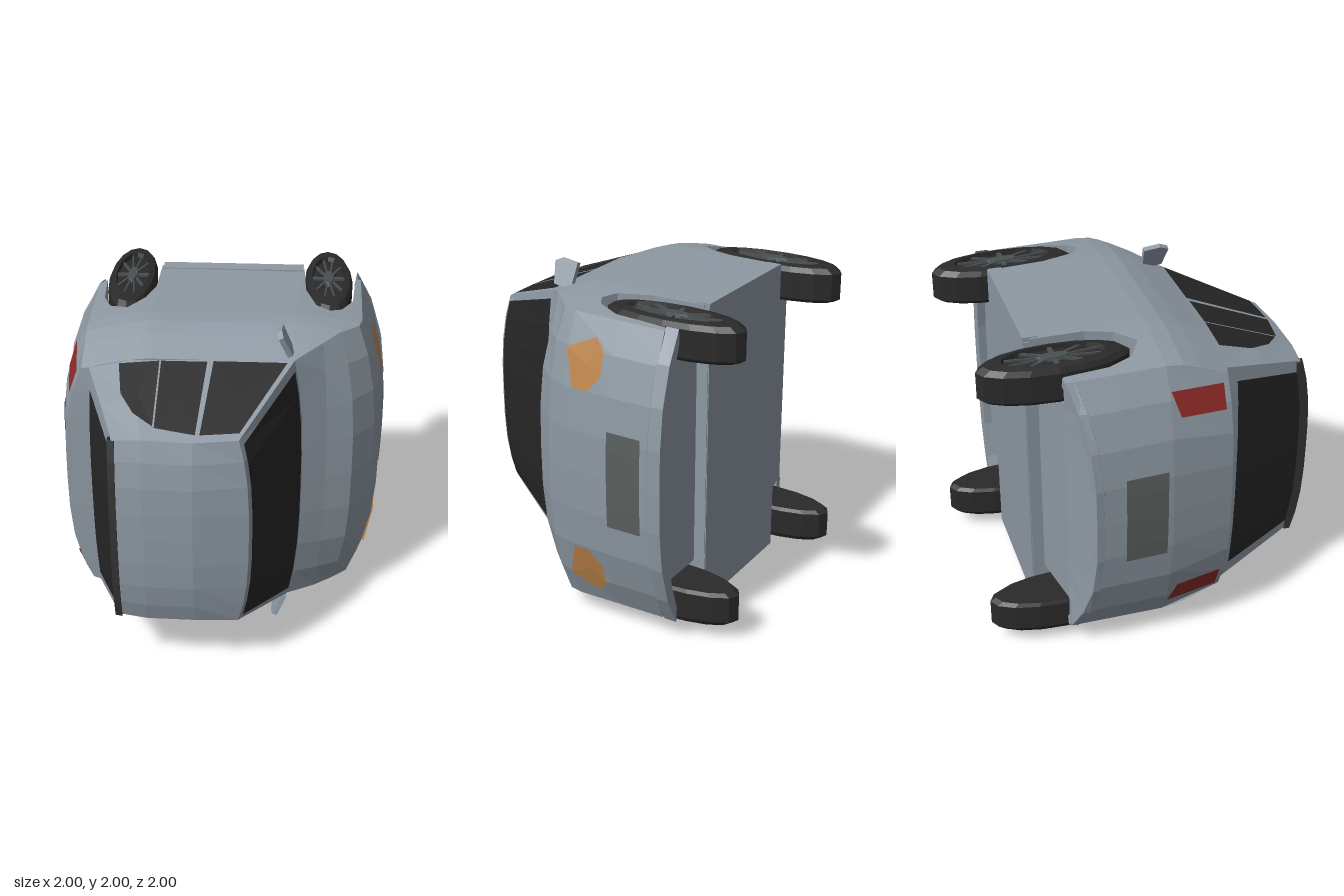
import * as THREE from 'three';

// The car lies with its nose to +x, its roof to +z and its width along y (middle at y = 1).
const mat = (name, color) => {
  const m = new THREE.MeshStandardMaterial({ color, flatShading: true, side: THREE.DoubleSide });
  m.name = name;
  return m;
};

// Half width of the bodywork at length x and height z
const PROFILE = [[-0.7, 0.92], [0, 0.93], [0.1, 0.918], [0.2, 0.885], [0.37, 0.815], [0.95, 0.595]];
function sideW(x, z) {
  let i = 0;
  while (i < PROFILE.length - 2 && z > PROFILE[i + 1][0]) i++;
  const [z0, w0] = PROFILE[i], [z1, w1] = PROFILE[i + 1];
  let w = w0 + (w1 - w0) * (z - z0) / (z1 - z0);
  if (x > 0.4) w -= 0.05 * ((x - 0.4) / 0.4) ** 1.5;
  if (x < -0.4) w -= 0.08 * ((-0.4 - x) / 0.39) ** 1.5;
  return w;
}

const { lerp, clamp } = THREE.MathUtils;
const T = [0, 0.28, 0.55, 0.8, 1];
const STATIONS = [...T.slice(1).reverse().map(t => -t), ...T];

// Point on a cross rib [centre x, centre z, edge x, edge z, half width], t from -1 to 1
function ribPoint([cx, cz, ex, ez, w = sideW(ex, ez)], t) {
  const a = Math.abs(t);
  const k = T.findIndex((v, i) => i > 0 && a <= v + 1e-6);
  const f = lerp(T[k - 1] ** 3, T[k] ** 3, (a - T[k - 1]) / (T[k] - T[k - 1]));
  return [lerp(cx, ex, f), 1 + t * w, lerp(cz, ez, f)];
}
function between(a, b, u, t, dx, dz) {
  const p = ribPoint(a, t), q = ribPoint(b, t);
  return [lerp(p[0], q[0], u) + dx, lerp(p[1], q[1], u), lerp(p[2], q[2], u) + dz];
}

function fromTriangles(pos) {
  const g = new THREE.BufferGeometry();
  g.setAttribute('position', new THREE.Float32BufferAttribute(pos.flat(), 3));
  g.computeVertexNormals();
  return g;
}
function grid(rows, flip = false) {
  const pos = [];
  const tri = (...t) => {
    const [a, b, c] = t.map(p => new THREE.Vector3(...p));
    if (b.sub(a).cross(c.sub(a)).length() > 1e-7) pos.push(...t);
  };
  for (let i = 0; i < rows.length - 1; i++) {
    for (let j = 0; j < rows[i].length - 1; j++) {
      const a = rows[i][j], b = rows[i][j + 1], c = rows[i + 1][j + 1], d = rows[i + 1][j];
      if (flip) { tri(a, c, b); tri(a, d, c); } else { tri(a, b, c); tri(a, c, d); }
    }
  }
  return fromTriangles(pos);
}
function fan(pts, flip) {
  const mid = [0, 1, 2].map(k => pts.reduce((s, p) => s + p[k], 0) / pts.length);
  const pos = [];
  pts.forEach((p, i) => {
    const q = pts[(i + 1) % pts.length];
    pos.push(mid, ...(flip ? [q, p] : [p, q]));
  });
  return fromTriangles(pos);
}
const ribbon = rows => grid(rows.map(r => STATIONS.map(t => ribPoint(r, t))));

// Ribs from the front underside over the hood and roof to the rear underside
const UNDER_FRONT = [[0.47, -0.62, 0.47, -0.62, 0.66], [0.79, -0.62, 0.79, -0.62, 0.66]];
const NOSE = [[0.985, -0.62, 0.82, -0.62], [0.98, -0.35, 0.815, -0.35], [0.955, -0.05, 0.81, -0.05]];
const HOOD = [[0.91, 0.08, 0.79, 0.03], [0.78, 0.23, 0.68, 0.12], [0.62, 0.29, 0.58, 0.22], [0.48, 0.36, 0.42, 0.36]];
const ROOF = [[0.19, 0.94, 0.13, 0.9], [-0.12, 1.0, -0.12, 0.925], [-0.4, 0.99, -0.4, 0.915], [-0.56, 0.965, -0.56, 0.9]];
const TAIL = [[-0.77, 0.385, -0.745, 0.37], [-0.91, 0.37, -0.79, 0.36], [-0.97, 0, -0.79, 0],
  [-0.98, -0.28, -0.79, -0.28], [-0.985, -0.45, -0.79, -0.56]];
const UNDER_REAR = [[-0.75, -0.56, -0.75, -0.56, 0.66], [-0.41, -0.62, -0.41, -0.62, 0.66]];

// Body side columns, rear to front: bottom x, bottom z, top x, top z
const SIDE = [[-0.79, -0.56, -0.79, 0.36], [-0.745, -0.56, -0.745, 0.37], [-0.73, -0.3, -0.7, 0.37],
  [-0.68, -0.16, -0.65, 0.37], [-0.57, -0.09, -0.57, 0.37], [-0.47, -0.2, -0.47, 0.37], [-0.42, -0.35, -0.42, 0.37],
  [-0.41, -0.66, -0.38, 0.37], [-0.05, -0.66, -0.05, 0.37], [0.47, -0.66, 0.39, 0.365], [0.48, -0.35, 0.42, 0.36],
  [0.54, -0.15, 0.5, 0.29], [0.62, -0.1, 0.58, 0.22], [0.69, -0.14, 0.68, 0.12], [0.76, -0.28, 0.74, 0.075],
  [0.785, -0.6, 0.79, 0.03], [0.82, -0.62, 0.81, -0.05]];
const SIDE_LEVELS = [-1, -0.3, 0, 0.1, 0.2, 1];
const CABIN = [[-0.745, 0.37, -0.56, 0.9], [-0.5, 0.37, -0.4, 0.915], [-0.05, 0.37, -0.12, 0.925], [0.42, 0.36, 0.13, 0.9]];
const WINDOWS = [
  [[-0.57, 0.39], [-0.34, 0.39], [-0.345, 0.83], [-0.46, 0.74], [-0.54, 0.6]],
  [[-0.33, 0.39], [-0.07, 0.39], [-0.11, 0.88], [-0.335, 0.84]],
  [[-0.035, 0.385], [0.38, 0.385], [0.13, 0.86], [-0.085, 0.88]]];

export function createModel() {
  const car = new THREE.Group();
  car.name = 'car';
  const paint = mat('body paint', 0x8e99a3), glass = mat('dark glass', 0x262626);
  const rubber = mat('tyre rubber', 0x2a2a2a), trim = mat('black trim', 0x333333);
  const alloy = mat('wheel alloy', 0x4a5052), plateGrey = mat('plate grey', 0x5a605e);
  const amber = mat('headlight amber', 0xbd8348), red = mat('taillight red', 0x8e2a28);
  const add = (name, geo, material, parent = car) => {
    const m = new THREE.Mesh(geo, material);
    m.name = name;
    parent.add(m);
    return m;
  };
  const box = (name, x0, x1, hw, z0, z1) =>
    add(name, new THREE.BoxGeometry(x1 - x0, 2 * hw, z1 - z0), paint).position.set((x0 + x1) / 2, 1, (z0 + z1) / 2);

  // Shell, floor and bumper lips
  add('bodyShell', ribbon([...UNDER_FRONT, ...NOSE, ...HOOD, ...ROOF, ...TAIL, ...UNDER_REAR]), paint);
  box('floor', -0.41, 0.47, 0.9, -0.69, -0.15);
  box('sill', -0.4, 0.465, 0.927, -0.695, -0.61);
  box('innerBody', -0.74, 0.79, 0.655, -0.55, 0.05);
  add('frontLip', ribbon([[0.9, -0.69, 0.785, -0.69, 0.8], [0.995, -0.695, 0.8, -0.695, 0.885],
    [1, -0.62, 0.8, -0.62, 0.885], [0.97, -0.595, 0.8, -0.595, 0.86]]), paint);
  add('rearLip', ribbon([[-0.965, -0.4, -0.77, -0.51, 0.84], [-0.995, -0.41, -0.78, -0.52, 0.86],
    [-1, -0.455, -0.76, -0.57, 0.86], [-0.94, -0.47, -0.745, -0.57, 0.8]]), paint);

  // Windscreen and rear window, each a skin just outside the shell
  const pane = (name, a, b, u0, u1, tm, dx, dz) => add(name,
    grid([u0, u1].map(u => STATIONS.map(t => between(a, b, u, t * tm, dx, dz)))), glass);
  pane('windscreen', HOOD[3], ROOF[0], 0.04, 0.96, 0.94, 0.007, 0.003);
  pane('rearWindow', ROOF[3], TAIL[0], 0.08, 0.88, 0.88, -0.006, 0.003);

  // Dark strip along the rear edge of the roof
  add('roofSpoiler', ribbon([[-0.545, 0.955, -0.545, 0.89, 0.6], [-0.545, 0.98, -0.545, 0.915, 0.6],
    [-0.585, 0.97, -0.585, 0.905, 0.6], [-0.585, 0.89, -0.585, 0.87, 0.6], [-0.555, 0.89, -0.555, 0.87, 0.6]]), trim);

  // Number plates
  const plate = (name, a, b, u0, u1, dx) => add(name,
    grid([u0, u1].map(u => [-0.33, -0.2, 0, 0.2, 0.33].map(t => between(a, b, u, t, dx, 0)))), plateGrey);
  plate('frontPlate', NOSE[0], NOSE[1], 0.2, 1, 0.009);
  plate('rearPlate', TAIL[2], TAIL[3], 0.12, 1, -0.009);

  for (const s of [-1, 1]) {
    const side = s > 0 ? 'Left' : 'Right', flip = s < 0;
    const onSide = (x, z, out = 0) => [x, 1 + s * (sideW(x, z) + out), z];

    // Lower side with wheel arches, arch liners, cabin side
    add('bodySide' + side, grid(SIDE.map(([xb, zb, xt, zt]) => SIDE_LEVELS.map(level => {
      const z = clamp(level, zb, zt);
      return onSide(lerp(xb, xt, (z - zb) / (zt - zb)), z);
    })), flip), paint);
    add('archLiner' + side, grid(SIDE.map(([x, z]) => [[x, 1 + s * 0.65, z], onSide(x, z)]), flip), paint);
    add('cabinSide' + side, grid(CABIN.map(([xb, zb, xt, zt]) =>
      [0, 0.5, 1].map(u => onSide(lerp(xb, xt, u), lerp(zb, zt, u)))), flip), paint);
    WINDOWS.forEach((w, i) => add('sideWindow' + side + (i + 1),
      fan(w.map(([x, z]) => onSide(x, z, 0.007)), !flip), glass));

    // Headlight given by height and width, taillight by rib fractions
    const lamp = [[-0.05, 0.7], [-0.11, 0.49], [-0.21, 0.49], [-0.29, 0.58], [-0.29, 0.72], [-0.23, 0.78]];
    add('headlight' + side, fan(lamp.map(([z, w]) =>
      between(NOSE[1], NOSE[2], (z + 0.35) / 0.3, s * w / 0.88, 0.015, 0.002)), flip), amber);
    add('taillight' + side, fan([[0.98, 0.86], [0.85, 0.7], [0.1, 0.75], [0.1, 0.94]].map(([u, t]) =>
      between(TAIL[1], TAIL[2], u, s * t, -0.014, 0)), flip), red);

    // Door mirror: a thin tilted plate
    const outline = [[-0.08, -0.06], [-0.085, 0], [-0.075, 0.06], [0.06, 0.085], [0.085, 0.03], [0.07, -0.07]];
    const shape = new THREE.Shape(outline.map(([y, z]) => new THREE.Vector2(s * y, z)));
    const geo = new THREE.ExtrudeGeometry(shape, { depth: 0.03, bevelEnabled: false });
    geo.translate(0, 0, -0.015);
    geo.applyMatrix4(new THREE.Matrix4().makeBasis(
      new THREE.Vector3(0, 1, 0), new THREE.Vector3(0, 0, 1), new THREE.Vector3(1, 0, 0)));
    const mirror = add('mirror' + side, geo, paint);
    mirror.position.set(0.365, 1 + s * 0.915, 0.31);
    mirror.rotation.z = s * 0.42;

    // Wheels: unit circle stretched along z, axle along y
    for (const [end, x] of [['rear', -0.585], ['front', 0.62]]) {
      const wheel = new THREE.Group();
      wheel.name = end + 'Wheel' + side;
      wheel.position.set(x, 1 + s * 0.8, -0.57);
      wheel.scale.set(0.147, 1, 0.43);
      if (s < 0) wheel.rotation.x = Math.PI;
      car.add(wheel);
      const tyre = [[0, -0.11], [0.92, -0.11], [1, -0.09], [1, 0.07], [0.9, 0.1], [0.68, 0.11], [0.65, 0.085], [0, 0.085]];
      add('tyre', new THREE.LatheGeometry(tyre.map(p => new THREE.Vector2(...p)), 16), rubber, wheel);
      add('hub', new THREE.CylinderGeometry(0.2, 0.24, 0.025, 12), alloy, wheel).position.y = 0.095;
      for (let i = 0; i < 10; i++) {
        const spoke = add('spoke', new THREE.BoxGeometry(0.5, 0.014, 0.06).translate(0.4, 0.092, 0), alloy, wheel);
        spoke.rotation.y = i * Math.PI / 5;
      }
    }
  }
  return car;
}
